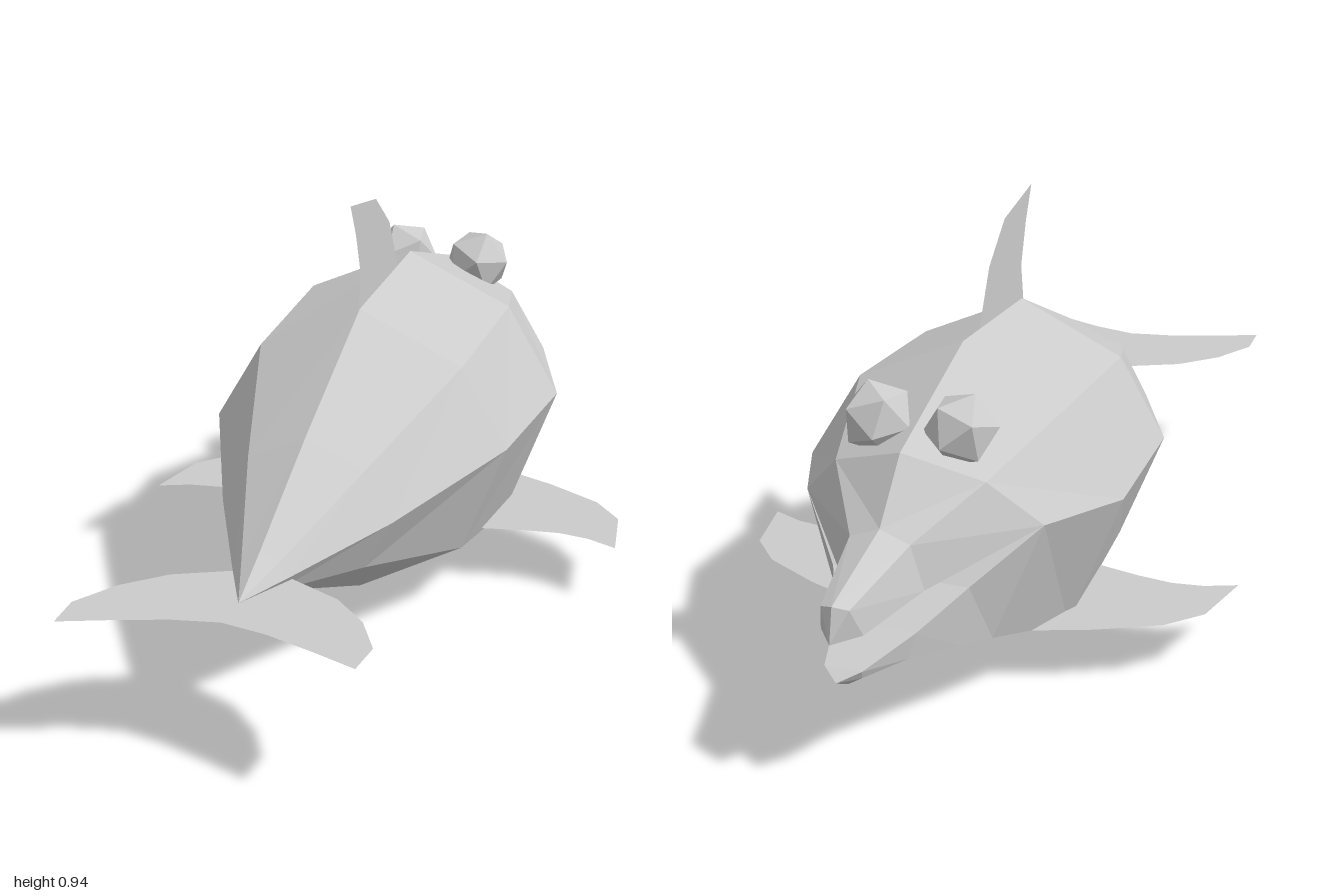
import * as THREE from 'three';

const skin = new THREE.MeshStandardMaterial({ color: 0xcccccc, flatShading: true });
const finSkin = new THREE.MeshStandardMaterial({ color: 0xcccccc, flatShading: true, side: THREE.DoubleSide });

// Joins rows of +x side points (each listed top to bottom, tail to head) and mirrors them.
function mirroredLoft(name, rows) {
  const pos = [];
  const tri = (a, b, c) => {
    const same = (p, q) => p.every((v, i) => v === q[i]);
    if (same(a, b) || same(b, c) || same(a, c)) return;
    const flip = ([x, y, z]) => [-x, y, z];
    pos.push(...a, ...b, ...c, ...flip(a), ...flip(c), ...flip(b));
  };
  for (let i = 0; i < rows.length - 1; i++) {
    for (let j = 0; j < rows[i].length - 1; j++) {
      const a = rows[i][j], b = rows[i][j + 1], d = rows[i + 1][j], e = rows[i + 1][j + 1];
      tri(a, b, d);
      tri(b, e, d);
    }
  }
  const geo = new THREE.BufferGeometry();
  geo.setAttribute('position', new THREE.Float32BufferAttribute(pos, 3));
  geo.computeVertexNormals();
  const mesh = new THREE.Mesh(geo, skin);
  mesh.name = name;
  return mesh;
}

// Thin flat fin from an outline.
function fin(name, outline) {
  const shape = new THREE.Shape(outline.map(([u, v]) => new THREE.Vector2(u, v)));
  const mesh = new THREE.Mesh(new THREE.ShapeGeometry(shape), finSkin);
  mesh.name = name;
  return mesh;
}

export function createModel() {
  const group = new THREE.Group();
  group.name = 'dolphin';

  // Body sections: back ridge, shoulder, side, belly edge, keel
  const ring = (z, top, [ux, uy], [mx, my], [lx, ly], bottom) =>
    [[0, top, z], [ux, uy, z], [mx, my, z], [lx, ly, z], [0, bottom, z]];
  const top = [0, 0.6, -0.64], brow = [0.165, 0.54, -0.59], corner = [0.265, 0.43, -0.52];
  const cheek = [0.17, 0.18, -0.57], chin = [0, 0.12, -0.57], throat = [0, 0.43, -0.52];
  group.add(mirroredLoft('body', [
    ring(0.81, 0.315, [0, 0.315], [0, 0.315], [0, 0.315], 0.315),
    ring(0.69, 0.375, [0.04, 0.355], [0.06, 0.325], [0.04, 0.295], 0.275),
    ring(0.42, 0.52, [0.13, 0.46], [0.19, 0.35], [0.13, 0.24], 0.17),
    ring(0.07, 0.69, [0.235, 0.58], [0.34, 0.4], [0.24, 0.15], 0.02),
    ring(-0.29, 0.715, [0.24, 0.605], [0.36, 0.405], [0.24, 0.09], 0),
    [top, brow, corner, cheek, chin],
  ]));

  // Upper jaw: ridge, bevel, lip, palate centre
  const snoutTip = [0, 0.345, -1];
  group.add(mirroredLoft('upperJaw', [
    [top, brow, corner, throat],
    [[0, 0.48, -0.75], [0.065, 0.455, -0.75], [0.09, 0.355, -0.74], [0, 0.355, -0.74]],
    [[0, 0.42, -0.985], [0.03, 0.41, -0.97], [0.045, 0.345, -0.94], [0, 0.34, -0.92]],
    [snoutTip, snoutTip, snoutTip, snoutTip],
  ]));

  // Lower jaw: mouth floor, lip, edge, keel
  const jawTip = [0, 0.25, -0.975];
  group.add(mirroredLoft('lowerJaw', [
    [throat, corner, cheek, chin],
    [[0, 0.33, -0.65], [0.15, 0.33, -0.65], [0.13, 0.2, -0.66], [0, 0.15, -0.66]],
    [[0, 0.28, -0.78], [0.088, 0.28, -0.78], [0.075, 0.225, -0.79], [0, 0.187, -0.79]],
    [[0, 0.265, -0.94], [0.04, 0.265, -0.94], [0.035, 0.245, -0.93], [0, 0.22, -0.92]],
    [jawTip, jawTip, jawTip, jawTip],
  ]));

  // Dorsal fin, outline in z and y
  const dorsal = fin('dorsalFin', [
    [0.13, 0.94], [0.095, 0.865], [0.065, 0.77], [0.08, 0.68], [-0.05, 0.66],
    [-0.2, 0.7], [-0.135, 0.83], [-0.04, 0.91],
  ]);
  dorsal.rotation.y = -Math.PI / 2;
  group.add(dorsal);

  // Tail fluke, outline in x and z
  const half = [[0.04, 0.66], [0.18, 0.73], [0.26, 0.81], [0.315, 0.91], [0.31, 1], [0.21, 0.96], [0.1, 0.92]];
  const fluke = fin('tailFluke', [...half, [0, 0.9], ...half.map(([x, z]) => [-x, z]).reverse()]);
  fluke.rotation.x = Math.PI / 2;
  fluke.position.y = 0.315;
  group.add(fluke);

  for (const [side, s] of [['left', 1], ['right', -1]]) {
    // Flippers, outline in x and z
    const flipper = fin(side + 'Flipper', [
      [0.18, -0.44], [0.33, -0.38], [0.46, -0.31], [0.53, -0.23], [0.56, -0.07],
      [0.49, -0.1], [0.42, -0.11], [0.34, -0.1], [0.2, -0.07],
    ].map(([x, z]) => [x * s, z]));
    flipper.rotation.x = Math.PI / 2;
    flipper.position.y = 0.135;
    group.add(flipper);

    // Bulging faceted eyes
    const eye = new THREE.Mesh(new THREE.IcosahedronGeometry(0.08, 0), skin);
    eye.name = side + 'Eye';
    eye.position.set(0.092 * s, 0.625, -0.537);
    eye.rotation.set(0.3, 0.4 * s, 0.2 * s);
    group.add(eye);
  }
  return group;
}
